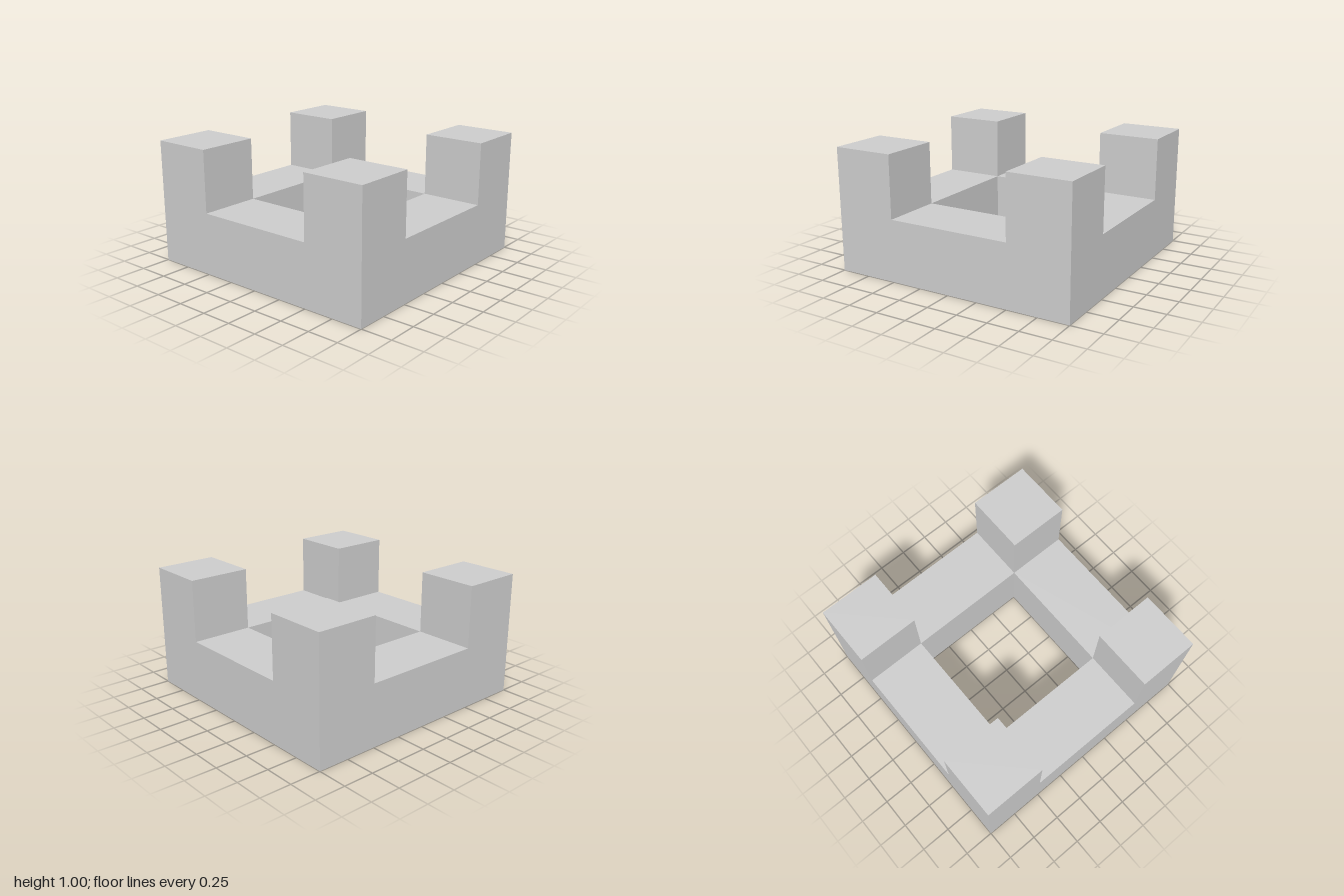
import * as THREE from 'three';

export function createModel() {
  const model = new THREE.Group();
  const material = new THREE.MeshStandardMaterial({ color: 0xcccccc, flatShading: true });

  const square = (path, r) =>
    path.moveTo(-r, -r).lineTo(r, -r).lineTo(r, r).lineTo(-r, r).closePath();

  // Low square wall around an open centre
  const outline = square(new THREE.Shape(), 1);
  outline.holes.push(square(new THREE.Path(), 0.5));
  const ringGeometry = new THREE.ExtrudeGeometry(outline, { depth: 0.5, bevelEnabled: false });
  ringGeometry.rotateX(-Math.PI / 2);
  const ring = new THREE.Mesh(ringGeometry, material);
  ring.name = 'squareRingBase';
  model.add(ring);

  // Cube post on each corner
  const postGeometry = new THREE.BoxGeometry(0.5, 0.5, 0.5);
  for (const [xName, x] of [['Left', 0.75], ['Right', -0.75]]) {
    for (const [zName, z] of [['front', 0.75], ['back', -0.75]]) {
      const post = new THREE.Mesh(postGeometry, material);
      post.name = `${zName}${xName}CornerPost`;
      post.position.set(x, 0.75, z);
      model.add(post);
    }
  }

  return model;
}
